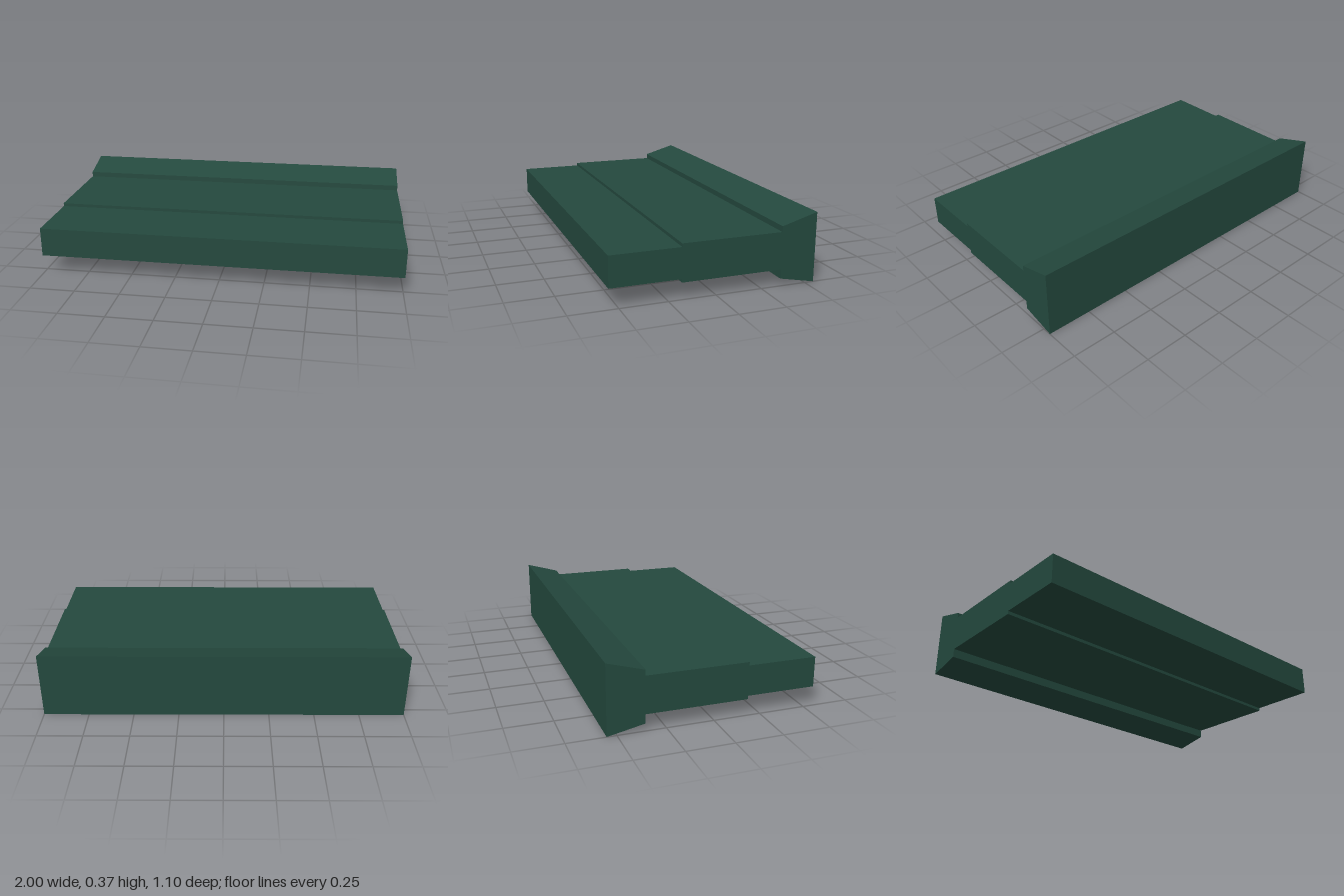
import * as THREE from 'three';

export function createModel() {
  const group = new THREE.Group();
  const darkGreen = new THREE.MeshStandardMaterial({ color: 0x24493e });
  darkGreen.name = 'darkGreen';

  // Extrudes a side profile of [z, y] corners across the full width in x
  function addSlab(name, profile) {
    const shape = new THREE.Shape(profile.map(([z, y]) => new THREE.Vector2(-z, y)));
    const geometry = new THREE.ExtrudeGeometry(shape, { depth: 2, bevelEnabled: false });
    geometry.translate(0, 0, -1).rotateY(Math.PI / 2);
    const mesh = new THREE.Mesh(geometry, darkGreen);
    mesh.name = name;
    group.add(mesh);
  }

  // Thin front slab
  addSlab('frontSlab', [[0.55, 0.106], [0.182, 0.106], [0.182, 0.268], [0.55, 0.268]]);
  // Slightly thicker middle slab
  addSlab('middleSlab', [[0.182, 0.088], [-0.356, 0.088], [-0.356, 0.286], [0.182, 0.286]]);
  // Flared rear block, widening towards the back
  addSlab('flaredRear', [[-0.356, 0.04], [-0.55, 0], [-0.55, 0.372], [-0.356, 0.316]]);

  return group;
}
